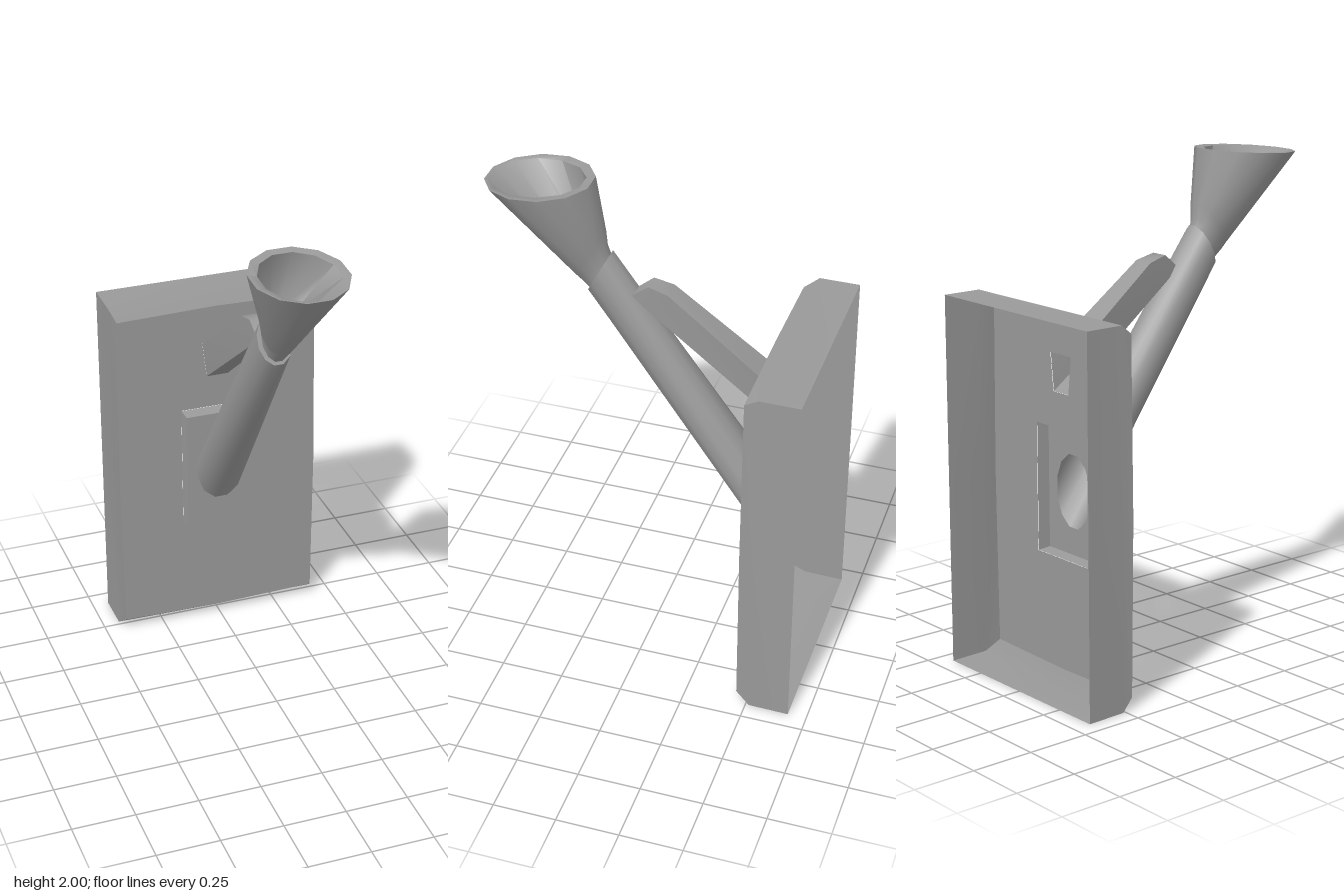
import * as THREE from 'three';
import { toCreasedNormals } from 'three/addons/utils/BufferGeometryUtils.js';

const material = new THREE.MeshStandardMaterial({ color: 0x999999, side: THREE.DoubleSide });
const SIDES = 12;

// Skin a list of rings (equal point counts), optionally closing the ends.
function loft(rings, { capStart = false, capEnd = false, crease = 0.7 } = {}) {
  const n = rings[0].length;
  const pos = rings.flat().flat();
  const index = [];
  for (let r = 0; r < rings.length - 1; r++) {
    for (let i = 0; i < n; i++) {
      const j = (i + 1) % n;
      const a = r * n + i, b = r * n + j, c = b + n, d = a + n;
      index.push(a, b, c, a, c, d);
    }
  }
  const last = (rings.length - 1) * n;
  for (let i = 1; i < n - 1; i++) {
    if (capStart) index.push(0, i + 1, i);
    if (capEnd) index.push(last, last + i, last + i + 1);
  }
  const g = new THREE.BufferGeometry();
  g.setAttribute('position', new THREE.Float32BufferAttribute(pos, 3));
  g.setIndex(index);
  return toCreasedNormals(g, crease);
}

// Ellipse with half width rx along x and half axis (vy, vz) in the side plane.
function ellipse(cx, cy, cz, rx, vy, vz) {
  const k = 1 / Math.cos(Math.PI / SIDES);
  return Array.from({ length: SIDES }, (_, i) => {
    const t = ((i + 0.5) / SIDES) * Math.PI * 2;
    const c = Math.cos(t) * k, s = Math.sin(t) * k;
    return [cx + rx * c, cy + vy * s, cz + vz * s];
  });
}

// Eight-point rectangle whose edges bow outward at their middles.
function rect(x0, x1, y0, y1, z, bow = 0) {
  const xm = (x0 + x1) / 2, ym = (y0 + y1) / 2;
  return [[x0, y0, z], [xm, y0 - bow, z], [x1, y0, z], [x1 + bow, ym, z],
    [x1, y1, z], [xm, y1 + bow, z], [x0, y1, z], [x0 - bow, ym, z]];
}

// Flat face bounded by a ring, with holes.
function face(ring, holes) {
  const to2 = (p) => new THREE.Vector2(p[0], p[1]);
  const shape = new THREE.Shape(ring.map(to2));
  shape.holes = holes.map((h) => new THREE.Path(h.map(to2)));
  return new THREE.ShapeGeometry(shape).translate(0, 0, ring[0][2]);
}

// Draw the front edge of the plate inward to make its chamfer.
const PLATE_FRONT = -0.457;
const inset = ([x, y, z]) => (z > PLATE_FRONT - 0.001
  ? [x * 0.958, 0.741 + (y - 0.741) * 0.943, z] : [x, y, z]);

export function createModel() {
  const model = new THREE.Group();
  const add = (name, geometry, parent = model) => {
    const mesh = new THREE.Mesh(geometry, material);
    mesh.name = name;
    parent.add(mesh);
  };
  const group = (name) => {
    const g = new THREE.Group();
    g.name = name;
    model.add(g);
    return g;
  };

  // Shared joints between parts
  const mountBack = rect(-0.155, 0.152, 0.485, 1.0, -0.455);
  const armBase = ellipse(-0.005, 0.745, -0.405, 0.1, 0.145, 0);
  const strutRing = (top, bottom, wTop, wBottom) => [
    [-wBottom, bottom[1], bottom[0]], [wBottom, bottom[1], bottom[0]],
    [wTop, top[1], top[0]], [-wTop, top[1], top[0]]];
  const strutBase = strutRing([-0.455, 1.29], [-0.455, 1.14], 0.062, 0.045);

  // Wall plate: hollow tray, open at the back; its chamfer keeps the wall normals
  const plate = group('wallPlate');
  const plateFront = rect(-0.433, 0.433, 0.003, 1.48, PLATE_FRONT, 0.01);
  const walls = loft([
    rect(-0.433, 0.433, 0, 1.48, -0.675),
    rect(-0.433, 0.433, 0.003, 1.48, -0.515),
    plateFront,
  ]);
  const p = walls.attributes.position;
  for (let i = 0; i < p.count; i++) p.setXYZ(i, ...inset([p.getX(i), p.getY(i), p.getZ(i)]));
  add('plateWalls', walls, plate);
  add('plateFace', face(plateFront.map(inset), [mountBack, strutBase]), plate);

  // Raised mount, open behind, pierced by the arm
  const mount = group('armMount');
  const mountFront = rect(-0.149, 0.146, 0.491, 0.992, -0.405);
  add('mountWalls', loft([mountBack, mountFront]), mount);
  add('mountFace', face(mountFront, [armBase]), mount);

  // Slanted hollow arm
  add('arm', loft([
    armBase,
    ellipse(-0.01, 1.625, 0.235, 0.067, 0.085, -0.045),
  ], { capEnd: true }));

  // Brace between plate and arm
  add('brace', loft([
    strutBase,
    strutRing([-0.05, 1.595], [0.045, 1.515], 0.042, 0.032),
    strutRing([0.03, 1.615], [0.1, 1.56], 0.036, 0.028),
  ], { capEnd: true, crease: 1 }));

  // Flared cup: neck seated on the arm, outer wall, rim and inner wall in one skin
  add('cup', loft([
    ellipse(-0.008, 1.622, 0.233, 0.052, 0.073, -0.039),
    ellipse(-0.006, 1.656, 0.253, 0.056, 0.08, -0.045),
    ellipse(-0.006, 1.698, 0.272, 0.075, 0.0925, -0.057),
    ellipse(-0.006, 1.985, 0.466, 0.178, 0.015, -0.204),
    ellipse(-0.006, 1.982, 0.478, 0.145, 0.012, -0.182),
    ellipse(-0.006, 1.725, 0.288, 0.055, 0.07, -0.045),
  ], { capEnd: true, crease: 1.2 }));

  return model;
}
